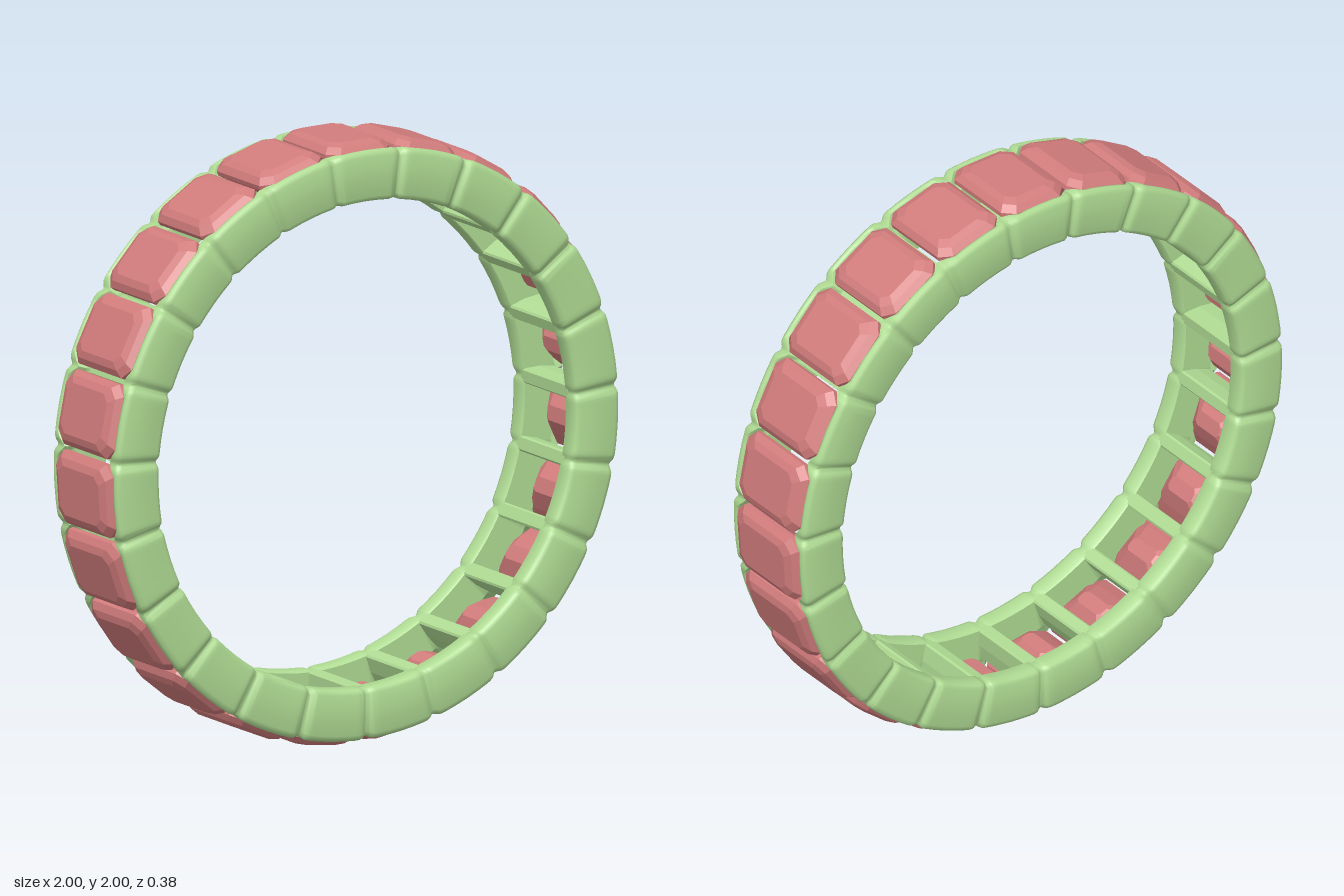
import * as THREE from 'three';
import { toCreasedNormals } from 'three/addons/utils/BufferGeometryUtils.js';

const COUNT = 23;                       // stones around the band
const STEP = (Math.PI * 2) / COUNT;

// Skin a list of equal-length loops; loops run counter-clockwise seen from the far end.
function loft(loops, closed) {
  const n = loops[0].length, pos = [];
  const tri = (a, b, c) => pos.push(...a, ...b, ...c);
  const last = closed ? loops.length : loops.length - 1;
  for (let i = 0; i < last; i++) {
    const lo = loops[i], hi = loops[(i + 1) % loops.length];
    for (let j = 0; j < n; j++) {
      const k = (j + 1) % n;
      tri(lo[j], lo[k], hi[k]);
      tri(lo[j], hi[k], hi[j]);
    }
  }
  if (!closed) {
    const bottom = loops[0], top = loops[loops.length - 1];
    for (let j = 1; j < n - 1; j++) {
      tri(bottom[0], bottom[j + 1], bottom[j]);
      tri(top[0], top[j], top[j + 1]);
    }
  }
  const g = new THREE.BufferGeometry();
  g.setAttribute('position', new THREE.Float32BufferAttribute(pos, 3));
  g.computeVertexNormals();
  return g;
}

// Rectangle with cut corners at height y (half sizes a, b; cut c)
function octagon(y, a, b, c) {
  return [
    [a, y, b - c], [a, y, c - b], [a - c, y, -b], [c - a, y, -b],
    [-a, y, c - b], [-a, y, b - c], [c - a, y, b], [a - c, y, b],
  ];
}

// Step-cut stone: pavilion, girdle, crown and table
function stoneGeometry() {
  return loft([
    octagon(0.86, 0.025, 0.06, 0.012),
    octagon(0.905, 0.078, 0.115, 0.028),
    octagon(0.95, 0.122, 0.158, 0.036),
    octagon(0.966, 0.123, 0.159, 0.036),
    octagon(0.986, 0.106, 0.141, 0.032),
    octagon(0.997, 0.083, 0.115, 0.026),
  ], false);
}

// Side rail: one cross-section swept round, pinched at every joint between stones
function railGeometry(side) {
  const offsets = [-0.5, -0.47, -0.44, -0.41, -0.37, -0.32, -0.2, 0, 0.2, 0.32, 0.37, 0.41, 0.44, 0.47];
  const loops = [];
  for (let i = 0; i < COUNT; i++) {
    for (const o of offsets) {
      const t = (i + o) * STEP;
      const d = (0.5 - Math.abs(o)) / 0.06;
      const pinch = Math.exp(-d * d);
      const corner = Math.max(0, 1 - (0.5 - Math.abs(o)) / 0.16);  // fills beside cut stone corners
      const zo = 0.189 - 0.012 * pinch;
      const ri = 0.805 + 0.005 * pinch;
      const ro = 0.975 - 0.008 * pinch;
      const lip = 0.161 - 0.036 * corner;
      const section = [
        [ri + 0.006, 0.118], [ri, 0.126], [ri, zo - 0.018], [ri + 0.005, zo - 0.006], [ri + 0.018, zo],
        [ro - 0.02, zo], [ro - 0.006, zo - 0.005], [ro, zo - 0.014],
        [ro - 0.002, lip + 0.004], [ro - 0.008, lip], [0.94, lip - 0.004], [0.925, 0.118],
      ];
      if (side > 0) section.reverse();
      loops.push(section.map(([r, z]) => [r * Math.sin(t), r * Math.cos(t), z * side]));
    }
  }
  return toCreasedNormals(loft(loops, true), 0.9);
}

// Crossbar between two windows, narrower toward the outside
function barGeometry() {
  const ring = (y, w) => octagon(y, w, 0.135, 0.004);
  return loft([ring(0.808, 0.019), ring(0.814, 0.025), ring(0.87, 0.022), ring(0.925, 0.01)], false);
}

export function createModel() {
  const model = new THREE.Group();
  model.name = 'ring';
  const metal = new THREE.MeshStandardMaterial({ color: 0xb0dc94 });
  const gem = new THREE.MeshStandardMaterial({ color: 0xd27c7c });

  const add = (name, geometry, material, angle = 0) => {
    const mesh = new THREE.Mesh(geometry, material);
    mesh.name = name;
    mesh.rotation.z = -angle;
    mesh.position.y = 1;
    model.add(mesh);
    return mesh;
  };

  add('frontRail', railGeometry(1), metal);
  add('backRail', railGeometry(-1), metal);

  // Stones and the crossbars between them
  const stone = stoneGeometry(), bar = barGeometry();
  for (let i = 0; i < COUNT; i++) {
    add('stone', stone, gem, i * STEP);
    add('crossbar', bar, metal, (i + 0.5) * STEP);
  }

  // Solid plate closing the window under the top stone
  const plate = new THREE.BoxGeometry(0.22, 0.025, 0.26);
  plate.translate(0, 0.822, 0);
  add('innerPlate', plate, metal);

  return model;
}
